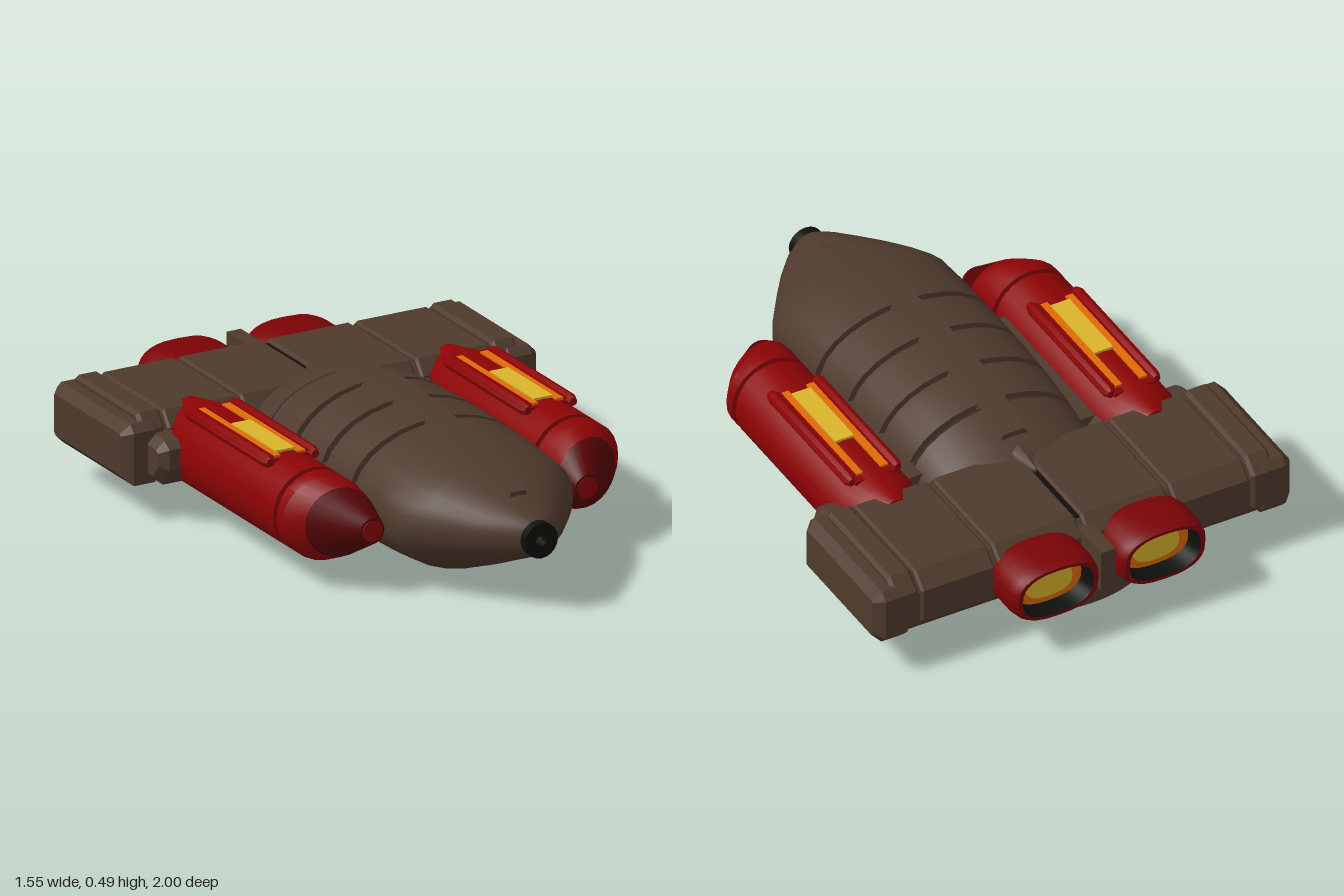
import * as THREE from 'three';
import { toCreasedNormals } from 'three/addons/utils/BufferGeometryUtils.js';

const paint = (name, hex) => {
  const m = new THREE.MeshStandardMaterial({ color: hex });
  m.name = name;
  return m;
};

// Skin a list of rings (front to back, counterclockwise seen from +z)
function loft(rings, capStart = true, capEnd = true, crease = 0.6) {
  const n = rings[0].length, pos = [], idx = [];
  rings.forEach(r => r.forEach(p => pos.push(...p)));
  for (let i = 0; i < rings.length - 1; i++) {
    for (let j = 0; j < n; j++) {
      const k = (j + 1) % n, a = i * n, b = a + n;
      idx.push(a + j, b + j, b + k, a + j, b + k, a + k);
    }
  }
  const cap = (i, flip) => {
    const c = pos.length / 3, mid = [0, 0, 0];
    rings[i].forEach(p => p.forEach((v, d) => { mid[d] += v / n; }));
    pos.push(...mid);
    for (let j = 0; j < n; j++) {
      const a = i * n + j, b = i * n + (j + 1) % n;
      idx.push(c, flip ? b : a, flip ? a : b);
    }
  };
  if (capStart) cap(0, false);
  if (capEnd) cap(rings.length - 1, true);
  const g = new THREE.BufferGeometry();
  g.setAttribute('position', new THREE.Float32BufferAttribute(pos, 3));
  g.setIndex(idx);
  return toCreasedNormals(g, crease);
}

// Superellipse ring; slant tilts the ring along x
function ring(z, cx, cy, rx, ry = rx, { n = 24, e = 1, slant = 0 } = {}) {
  return Array.from({ length: n }, (_, i) => {
    const a = i / n * Math.PI * 2, c = Math.cos(a), s = Math.sin(a);
    const bend = v => Math.sign(v) * Math.abs(v) ** e;
    return [cx + rx * bend(c), cy + ry * bend(s), z + slant * c];
  });
}

// Extrude a [z, y] outline from x0 to x1 with chamfered ends
function slab(outline, x0, x1, b) {
  const shape = new THREE.Shape(outline.map(([z, y]) => new THREE.Vector2(-z, y)));
  const g = new THREE.ExtrudeGeometry(shape, {
    depth: x1 - x0 - 2 * b, bevelEnabled: true, bevelThickness: b,
    bevelSize: b, bevelOffset: -b, bevelSegments: 1,
  });
  return g.rotateY(Math.PI / 2).translate(x0 + b, 0, 0);
}

export function createModel() {
  const model = new THREE.Group();
  model.name = 'spaceship';
  const brown = paint('brown hull', 0x4f3a2d);
  const red = paint('red armour', 0x8b0304);
  const engineRed = paint('engine red', 0x7a0305);
  const darkRed = paint('dark red nose', 0x560203);
  const black = paint('black metal', 0x0e0e0c);
  const orange = paint('orange glow', 0xe06a08);
  const yellow = paint('yellow glow', 0xdab42c);
  const add = (name, geo, mat, parent = model) => {
    const m = new THREE.Mesh(geo, mat);
    m.name = name;
    parent.add(m);
  };
  const box = (name, x0, x1, y0, y1, z0, z1, mat, parent) =>
    add(name, new THREE.BoxGeometry(x1 - x0, y1 - y0, z1 - z0)
      .translate((x0 + x1) / 2, (y0 + y1) / 2, (z0 + z1) / 2), mat, parent);

  // Hull stations: z, half width, top, bottom
  const stations = [
    [0.97, 0.06, 0.31, 0.19], [0.93, 0.11, 0.33, 0.17], [0.86, 0.172, 0.354, 0.14],
    [0.78, 0.232, 0.384, 0.105], [0.7, 0.288, 0.408, 0.07], [0.63, 0.328, 0.425, 0.042],
    [0.5, 0.331, 0.442, 0.025], [0.35, 0.332, 0.453, 0.016], [0.1, 0.328, 0.46, 0.008],
    [-0.1, 0.323, 0.456, 0.003], [-0.25, 0.317, 0.437, 0.001], [-0.38, 0.31, 0.395, 0.004],
    [-0.45, 0.3, 0.355, 0.009], [-0.52, 0.29, 0.335, 0.015], [-0.7, 0.26, 0.3, 0.028],
    [-0.82, 0.22, 0.25, 0.042], [-0.9, 0.18, 0.2, 0.056],
  ];
  const station = z => {
    let i = 0;
    while (i < stations.length - 2 && z < stations[i + 1][0]) i++;
    const a = stations[i], b = stations[i + 1], t = (z - a[0]) / (b[0] - a[0]);
    return a.map((v, k) => v + (b[k] - v) * t);
  };
  // Armour grooves are cut straight into the hull
  const cuts = stations.map(s => [s[0], 0]);
  for (const g of [0.335, 0.137, -0.062, -0.245]) {
    cuts.push([g + 0.014, 0], [g + 0.012, 0.02], [g - 0.012, 0.02], [g - 0.014, 0]);
  }
  cuts.sort((a, b) => b[0] - a[0]);
  add('hull', loft(cuts.map(([z, d]) => {
    const [, w, top, bottom] = station(z);
    return ring(z, 0, (top + bottom) / 2, w - d, (top - bottom) / 2 - d, { n: 28, e: 0.96 });
  })), brown);

  // Spine along the top: z, half width at foot, half width on top, height
  const spine = [
    [0.85, 0.04, 0.028, 0.372], [0.6, 0.05, 0.032, 0.441], [0.3, 0.06, 0.036, 0.477],
    [0.02, 0.066, 0.04, 0.49], [-0.2, 0.066, 0.04, 0.468], [-0.385, 0.066, 0.04, 0.41],
  ];
  add('spine', loft(spine.map(([z, w, t, h]) =>
    [[w, h - 0.06, z], [t, h, z], [-t, h, z], [-w, h - 0.06, z]])), brown);
  add('spineTail', loft([ring(-0.4, 0, 0.335, 0.06, 0.045, { n: 8 }),
    ring(-0.53, 0, 0.345, 0.004, 0.01, { n: 8 })]), brown);

  // Nose muzzle with a bore
  add('noseMuzzle', loft([[0.97, 0.02], [1, 0.02], [1, 0.061], [0.95, 0.061]]
    .map(([z, r]) => ring(z, 0, 0.25, r, r, { n: 20 }))), black);

  // Wing core and chamfered panels
  const panel = (top, back = -0.86) => [[-0.37, 0.15], [-0.37, top - 0.05], [-0.41, top],
    [-0.805, top], [back, top - 0.05], [back, 0.18], [-0.82, 0.135], [-0.4, 0.135]];
  add('wingCore', slab(panel(0.335, -0.845), -0.72, 0.72, 0.005), brown);
  const lug = [[-0.265, 0.2], [-0.265, 0.27], [-0.3, 0.29], [-0.42, 0.3], [-0.42, 0.137], [-0.31, 0.137]];
  const tip = [[-0.36, 0.13], [-0.36, 0.31], [-0.385, 0.335], [-0.835, 0.335],
    [-0.86, 0.31], [-0.86, 0.16], [-0.83, 0.13]];
  for (const s of [1, -1]) {
    const side = new THREE.Group();
    side.name = s > 0 ? 'leftSide' : 'rightSide';
    model.add(side);
    const span = (name, outline, a, b, bevel) =>
      add(name, slab(outline, Math.min(s * a, s * b), Math.max(s * a, s * b), bevel), brown, side);
    span('innerWingPanel', panel(0.352), 0.01, 0.318, 0.008);
    span('middleWingPanel', panel(0.352), 0.336, 0.607, 0.008);
    span('outerWingPanel', panel(0.36), 0.617, 0.705, 0.012);
    span('wingTip', tip, 0.63, 0.773, 0.032);
    span('wingLug', lug, 0.32, 0.69, 0.028);
    const c = s * 0.48;
    box('podStrut', s * 0.34 - 0.06, s * 0.34 + 0.06, 0.2, 0.29, -0.3, 0.3, brown, side);

    // Side pod: z, centre x, centre y, radius, slant
    const podLoft = (name, list, mat) => add(name, loft(list.map(([z, x, y, r, k]) =>
      ring(z, s * x, y, r, r, { slant: -s * k }))), mat, side);
    const rim = [0.49, 0.458, 0.232, 0.12, 0.02];
    podLoft('podTip', [[0.6, 0.4, 0.225, 0.036, 0], [0.585, 0.402, 0.225, 0.037, 0]], red);
    podLoft('podNose', [[0.597, 0.4, 0.225, 0.045, 0], rim], darkRed);
    podLoft('pod', [
      rim, [0.435, 0.48, 0.233, 0.145, 0.03],
      [0.367, 0.48, 0.233, 0.145, 0], [0.365, 0.48, 0.233, 0.13, 0],
      [0.345, 0.48, 0.233, 0.13, 0], [0.343, 0.48, 0.233, 0.145, 0], [-0.34, 0.48, 0.233, 0.145, 0],
      [-0.4, 0.48, 0.26, 0.108, 0], [-0.46, 0.48, 0.31, 0.05, 0],
    ], red);
    // Glow trench on top of the pod
    box('podDeck', c - 0.075, c + 0.075, 0.33, 0.372, -0.33, 0.21, red, side);
    for (const d of [-1, 1]) {
      const x = c + d * 0.084;
      add('podRail', loft([[0.22, 0.014], [0.2, 0.022], [-0.3, 0.022], [-0.32, 0.014]]
        .map(([z, r]) => ring(z, x, 0.368, r, r, { n: 8 }))), red, side);
      box('innerRail', c + d * 0.066 - 0.005, c + d * 0.066 + 0.005, 0.36, 0.383, -0.3, 0.2, red, side);
      box('glowStrip', c + d * 0.047 - 0.014, c + d * 0.047 + 0.014, 0.371, 0.38, -0.3, 0.195, orange, side);
    }
    box('glowPlate', c - 0.035, c + 0.035, 0.376, 0.385, -0.12, 0.17, yellow, side);

    // Rear engine: rounded casing, dark liner and glowing core
    const ex = s * 0.198 - 0.018, ey = 0.237;
    const oval = ([z, k]) => ring(z, ex, ey, 0.164 * k, 0.106 * k, { n: 28, e: 0.78 });
    add('engineCasing', loft([[-0.81, 0.9], [-0.825, 0.97], [-0.855, 1], [-0.95, 1],
      [-0.985, 0.96], [-1, 0.9], [-1, 0.8]].map(oval), true, false), engineRed, side);
    add('engineLiner', loft([[-1, 0.8], [-0.93, 0.74]].map(oval), false, false), black, side);
    add('engineGlow', loft([[-0.926, 0.76], [-0.934, 0.76]].map(oval)), orange, side);
    add('engineCore', loft([[-0.932, 0.52], [-0.94, 0.52]].map(oval)), yellow, side);
  }
  // Block between the engines and the dark slot ahead of it
  box('engineDivider', -0.038, 0.016, 0.17, 0.325, -0.99, -0.82, brown);
  box('centreSlot', -0.01, 0.01, 0.33, 0.339, -0.8, -0.5, black);
  return model;
}
